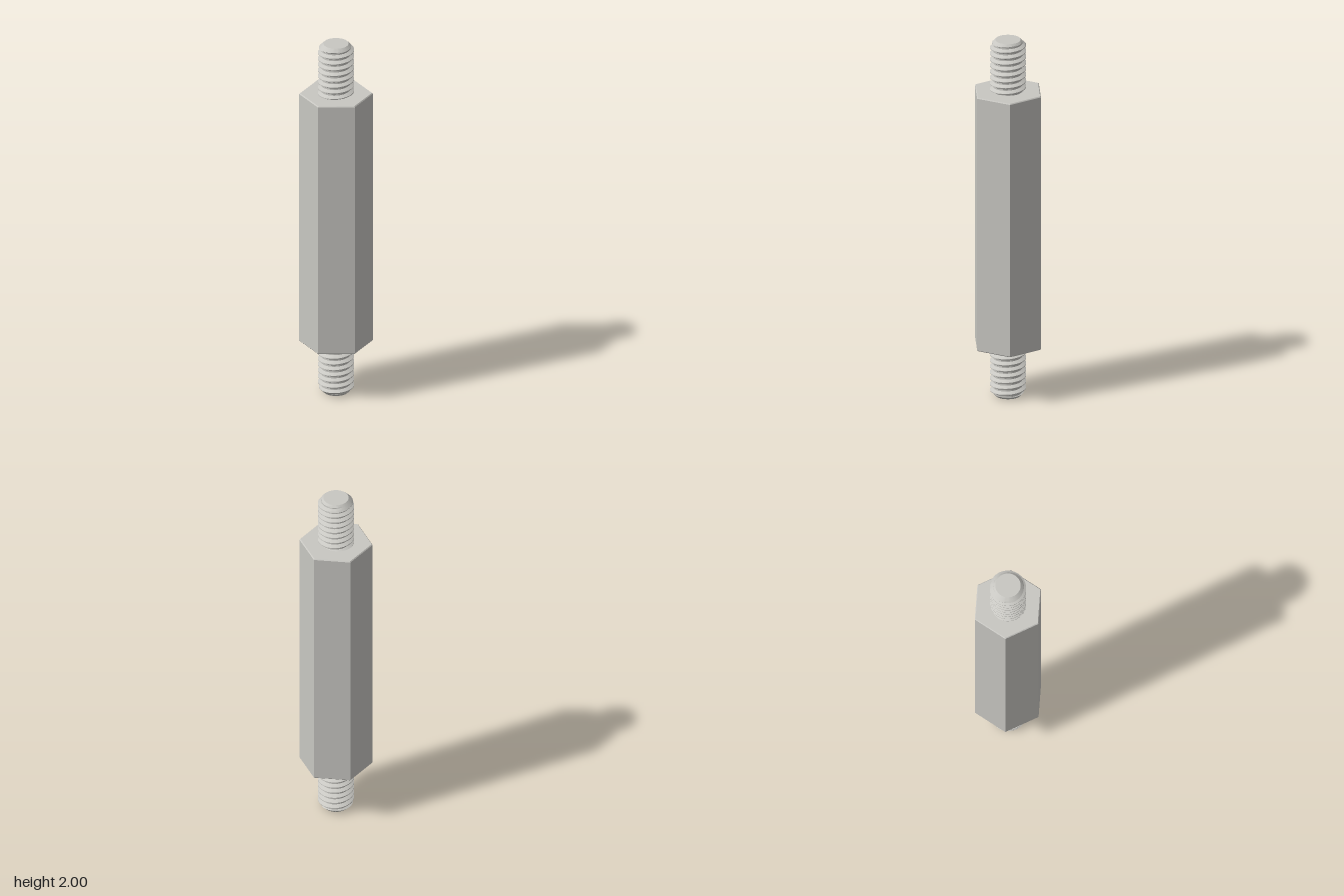
import * as THREE from 'three';
import { toCreasedNormals } from 'three/addons/utils/BufferGeometryUtils.js';

const PITCH = 0.0333, MAJOR = 0.095, MINOR = 0.077, TIP = 0.066;
const STUD = 0.286, HEX_R = 0.1925, BEVEL = 0.005;

// Thread radius for a phase within one pitch: root flat, flank, crest flat, flank
function threadRadius(u) {
  const d = Math.abs(u - Math.floor(u) - 0.5); // 0 at the crest, 0.5 at the root
  const k = THREE.MathUtils.clamp((0.375 - d) / 0.3125, 0, 1);
  return MINOR + (MAJOR - MINOR) * k;
}

// Helical grid from y = 0 to y = STUD, with a 45 degree chamfer at the tip
function threadGeometry() {
  const segments = 64;
  const phases = [0, 0.125, 0.23, 0.335, 0.4375, 0.5625, 0.665, 0.77, 0.875];
  const turns = Math.ceil(STUD / PITCH) + 2;
  const rows = turns * phases.length;
  const pos = [], index = [];
  for (let i = 0; i <= segments; i++) {
    const a = i / segments, t = a * Math.PI * 2;
    for (let j = 0; j < rows; j++) {
      const turn = Math.floor(j / phases.length) - 1;
      const y = THREE.MathUtils.clamp((turn + phases[j % phases.length] + a) * PITCH, 0, STUD);
      const r = Math.min(threadRadius(y / PITCH - a), TIP + STUD - y);
      pos.push(r * Math.cos(t), y, -r * Math.sin(t));
    }
  }
  const addFace = (...f) => {
    const ys = f.map((v) => pos[v * 3 + 1]);
    if (Math.max(...ys) - Math.min(...ys) > 1e-6) index.push(...f);
  };
  for (let i = 0; i < segments; i++) {
    for (let j = 0; j < rows - 1; j++) {
      const a = i * rows + j, b = a + rows;
      addFace(a, b, b + 1);
      addFace(a, b + 1, a + 1);
    }
  }
  const g = new THREE.BufferGeometry();
  g.setAttribute('position', new THREE.Float32BufferAttribute(pos, 3));
  g.setIndex(index);
  return toCreasedNormals(g, 0.45);
}

// Six-sided bar with small bevels at both ends
function hexGeometry(y0, y1) {
  const profile = [
    [0, y0], [HEX_R - BEVEL, y0], [HEX_R, y0 + BEVEL],
    [HEX_R, y1 - BEVEL], [HEX_R - BEVEL, y1], [0, y1],
  ].map(([r, y]) => new THREE.Vector2(r, y));
  const g = new THREE.LatheGeometry(profile, 6, Math.PI / 2).toNonIndexed();
  g.computeVertexNormals();
  return g;
}

export function createModel() {
  const model = new THREE.Group();
  model.name = 'hexStandoff';
  const steel = new THREE.MeshStandardMaterial({ color: 0xc8c7c2 });
  steel.name = 'light grey metal';

  const body = new THREE.Mesh(hexGeometry(STUD, 2 - STUD), steel);
  body.name = 'hexBody';
  model.add(body);

  // The lower stud is the upper one turned over, which keeps the thread right-handed
  const thread = threadGeometry();
  const disc = new THREE.CircleGeometry(TIP, 64).rotateX(-Math.PI / 2);
  for (const [name, y, turn] of [['upperStud', 2 - STUD, 0], ['lowerStud', STUD, Math.PI]]) {
    const stud = new THREE.Group();
    stud.name = name;
    const shaft = new THREE.Mesh(thread, steel);
    shaft.name = 'thread';
    const tip = new THREE.Mesh(disc, steel);
    tip.name = 'tip';
    tip.position.y = STUD;
    stud.add(shaft, tip);
    stud.position.y = y;
    stud.rotation.x = turn;
    model.add(stud);
  }
  return model;
}
